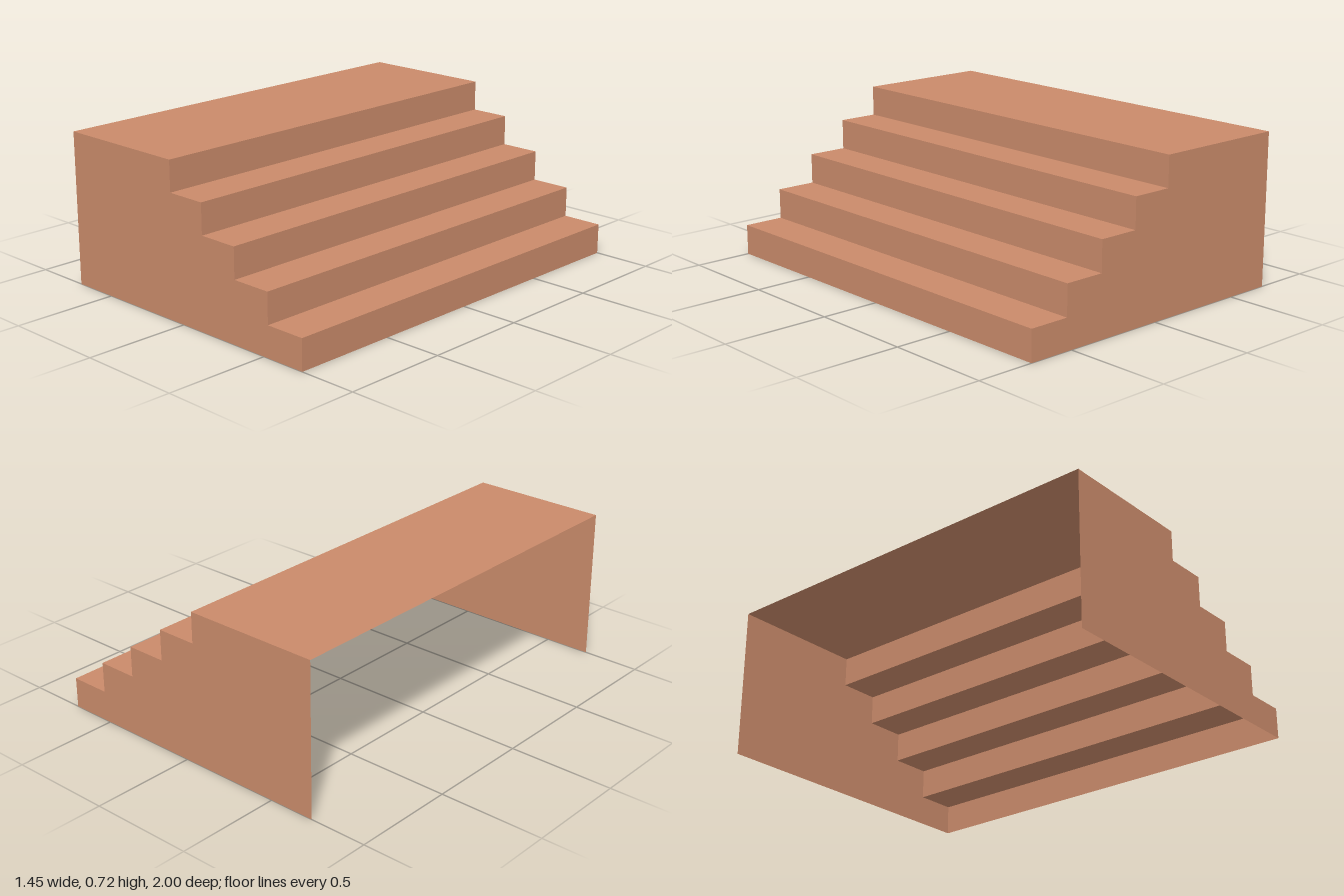
import * as THREE from 'three';

const STEPS = 5, RISE = 0.1445, TREAD = 0.19625;
const HALF_X = 0.7225, HALF_Z = 1;

export function createModel() {
  const group = new THREE.Group();
  const terracotta = new THREE.MeshStandardMaterial({ color: 0xc98a6a, side: THREE.DoubleSide });
  terracotta.name = 'terracotta';

  const add = (name, geometry) => {
    const mesh = new THREE.Mesh(geometry, terracotta);
    mesh.name = name;
    group.add(mesh);
    return mesh;
  };

  // Thin risers and treads; the last tread is the wide landing
  const outline = [[-HALF_X, 0], [HALF_X, 0]];
  for (let i = 0; i < STEPS; i++) {
    const front = HALF_X - i * TREAD;
    const back = i === STEPS - 1 ? -HALF_X : front - TREAD;
    const top = (i + 1) * RISE;
    outline.push([front, top], [back, top]);

    const riser = add(`riser${i + 1}`, new THREE.PlaneGeometry(2 * HALF_Z, RISE));
    riser.rotation.y = Math.PI / 2;
    riser.position.set(front, top - RISE / 2, 0);

    const tread = add(i === STEPS - 1 ? 'landing' : `tread${i + 1}`,
      new THREE.PlaneGeometry(front - back, 2 * HALF_Z));
    tread.rotation.x = -Math.PI / 2;
    tread.position.set((front + back) / 2, top, 0);
  }

  // Stepped end walls, facing outward; the back and underside stay open
  for (const side of [1, -1]) {
    const shape = new THREE.Shape(outline.map(([x, y]) => new THREE.Vector2(x * side, y)));
    const wall = add(side > 0 ? 'frontWall' : 'rearWall', new THREE.ShapeGeometry(shape));
    wall.rotation.y = side > 0 ? 0 : Math.PI;
    wall.position.z = side * HALF_Z;
  }

  return group;
}
